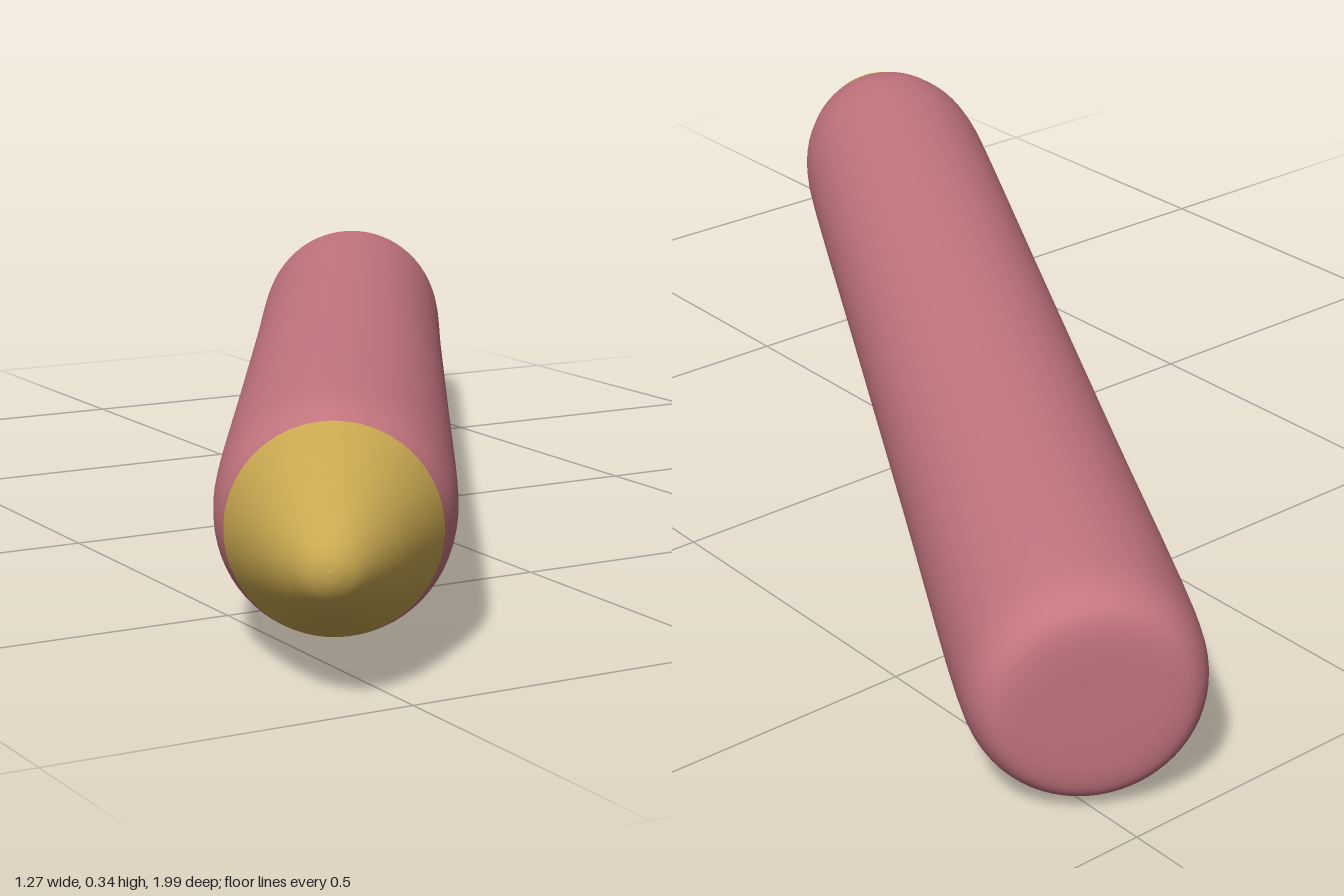
import * as THREE from 'three';

// Smooth lathe from [radius, height] points
function turned(name, color, points) {
  const curve = new THREE.CatmullRomCurve3(points.map(([r, t]) => new THREE.Vector3(r, t, 0)), false, 'centripetal');
  const profile = curve.getPoints(points.length * 5).map(p => new THREE.Vector2(Math.max(p.x, 0), p.y));
  profile[0].x = points[0][0];
  const mesh = new THREE.Mesh(
    new THREE.LatheGeometry(profile, 64),
    new THREE.MeshStandardMaterial({ color, side: THREE.DoubleSide })
  );
  mesh.name = name;
  return mesh;
}

export function createModel() {
  const model = new THREE.Group();
  model.name = 'pencil';

  // Pencil built upright, blunt end at the origin
  const pencil = new THREE.Group();
  pencil.name = 'pencilBody';

  // Barrel with a rounded blunt end, easing into the taper
  pencil.add(turned('barrel', 0xc4757f, [
    [0, -0.01], [0.06, -0.01], [0.112, -0.007], [0.135, 0.001], [0.15, 0.018], [0.16, 0.045],
    [0.165, 0.09], [0.165, 0.6], [0.165, 1.2], [0.165, 1.8], [0.163, 1.86], [0.157, 1.92], [0.143, 1.978],
  ]));

  // Convex rounded point
  pencil.add(turned('tip', 0xc9a850, [
    [0.143, 1.978], [0.117, 2.05], [0.085, 2.128], [0.057, 2.18], [0.036, 2.207], [0.016, 2.219], [0, 2.222],
  ]));

  // Lay it down diagonally, the tip slightly raised
  const back = new THREE.Vector3(0.51, 0.167, -0.925);
  const point = new THREE.Vector3(-0.612, 0.18, 0.992);
  const axis = point.clone().sub(back).normalize();
  pencil.quaternion.setFromUnitVectors(new THREE.Vector3(0, 1, 0), axis);
  pencil.position.copy(back);
  model.add(pencil);
  return model;
}
